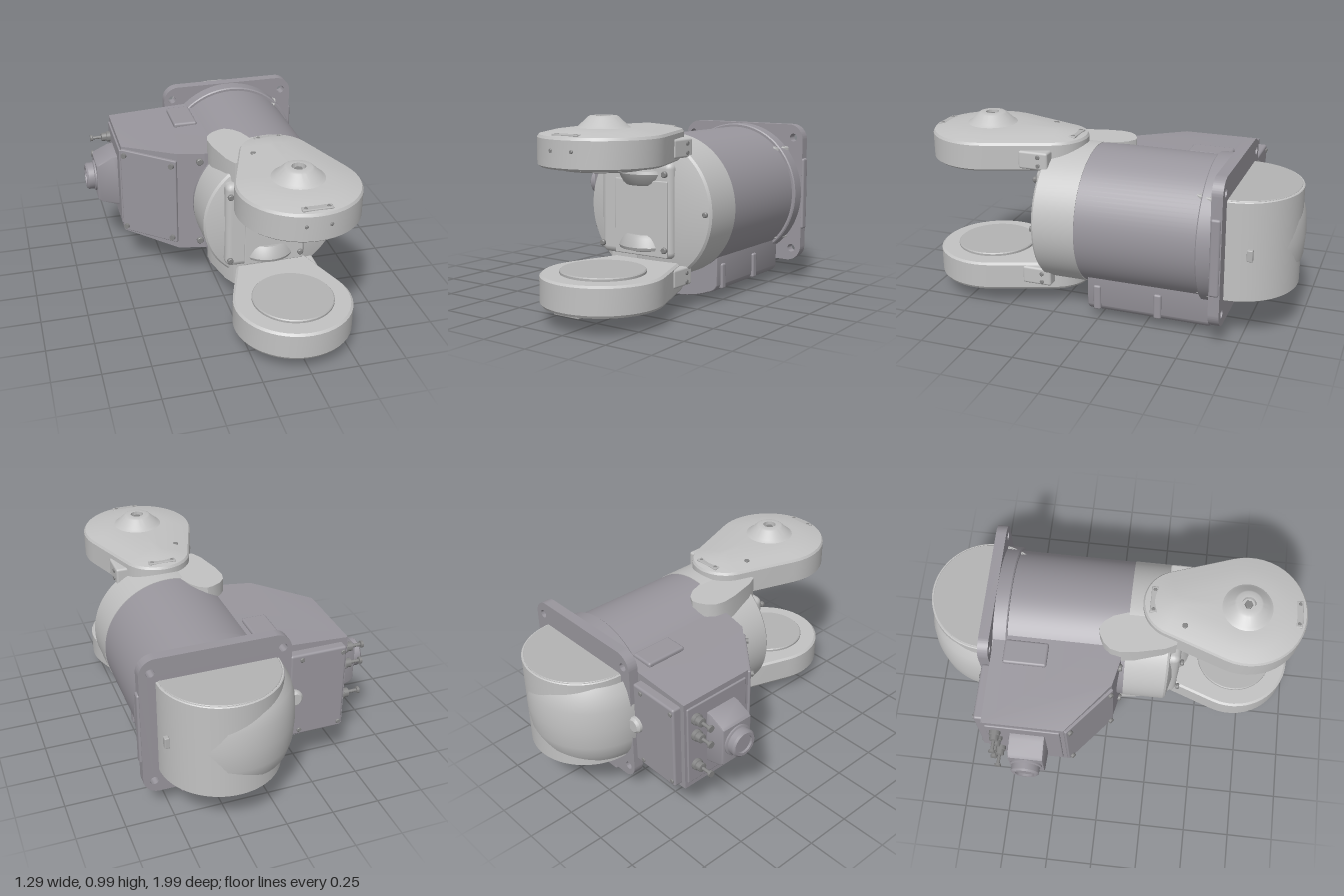
import * as THREE from 'three';
import { toCreasedNormals } from 'three/addons/utils/BufferGeometryUtils.js';
import { RoundedBoxGeometry } from 'three/addons/geometries/RoundedBoxGeometry.js';

const mat = (name, color) => {
  const m = new THREE.MeshStandardMaterial({ color });
  m.name = name;
  return m;
};
const CX = 0.245, CY = 0.5; // barrel axis

export function createModel() {
  const root = new THREE.Group();
  const light = mat('light grey shell', 0xc2c2c2);
  const dark = mat('dark grey casting', 0x99969d);
  const cap = mat('cap grey', 0xb3b3b3);
  const metal = mat('fastener grey', 0x858585);

  const add = (name, geo, material, x = 0, y = 0, z = 0) => {
    const m = new THREE.Mesh(geo, material);
    m.name = name;
    m.position.set(x, y, z);
    root.add(m);
    return m;
  };
  const crease = (g) => toCreasedNormals(g, 0.55);
  const box = (name, material, x0, x1, y0, y1, z0, z1, r = 0.012) =>
    add(name, new RoundedBoxGeometry(x1 - x0, y1 - y0, z1 - z0, 2, r), material,
      (x0 + x1) / 2, (y0 + y1) / 2, (z0 + z1) / 2);
  // revolved part; profile is [radius, height], axis 'x', 'y' or 'z'
  const lathe = (name, material, profile, axis, x, y, z, segs = 64) => {
    const g = new THREE.LatheGeometry(profile.map(p => new THREE.Vector2(...p)), segs);
    if (axis === 'z') g.rotateX(Math.PI / 2);
    if (axis === 'x') g.rotateZ(-Math.PI / 2);
    return add(name, crease(g), material, x, y, z);
  };
  const disc = (r, a, b, c = 0.006) => [[0, a], [r - c, a], [r, a + c], [r, b - c], [r - c, b], [0, b]];
  // plan outline in x,z raised from y0 to y1
  const plan = (pts, y0, y1) => {
    const s = new THREE.Shape(pts.map(p => new THREE.Vector2(p[0], -p[1])));
    return new THREE.ExtrudeGeometry(s, { depth: y1 - y0, bevelEnabled: false })
      .rotateX(-Math.PI / 2).translate(0, y0, 0);
  };
  // stacked teardrop rings [y, inset], closed at both ends
  const teardrop = (layers) => {
    const z1 = 0.69, z2 = 0.33, R = 0.305, r = 0.185, n = 28;
    const phi = Math.asin((R - r) / (z1 - z2));
    const ring = (inset) => {
      const pts = [];
      for (let i = 0; i <= n; i++) {
        const a = -phi + (Math.PI + 2 * phi) * i / n;
        pts.push([CX + (R - inset) * Math.cos(a), z1 + (R - inset) * Math.sin(a)]);
      }
      for (let i = 0; i <= n; i++) {
        const a = Math.PI + phi + (Math.PI - 2 * phi) * i / n;
        pts.push([CX + (r - inset) * Math.cos(a), z2 + (r - inset) * Math.sin(a)]);
      }
      return pts;
    };
    const pos = [], idx = [], N = 2 * n + 2;
    for (const [y, inset] of layers) for (const [x, z] of ring(inset)) pos.push(x, y, z);
    for (let l = 0; l < layers.length - 1; l++) for (let i = 0; i < N; i++) {
      const a = l * N + i, b = l * N + (i + 1) % N;
      idx.push(a, a + N, b, b, a + N, b + N);
    }
    const last = (layers.length - 1) * N;
    pos.push(CX, layers[0][0], 0.55, CX, layers[layers.length - 1][0], 0.55);
    for (let i = 0; i < N; i++) {
      const j = (i + 1) % N;
      idx.push(last + N, i, j, last + N + 1, last + j, last + i);
    }
    const g = new THREE.BufferGeometry();
    g.setAttribute('position', new THREE.Float32BufferAttribute(pos, 3));
    g.setIndex(idx);
    return toCreasedNormals(g, 0.4);
  };

  // Main barrel
  lathe('barrel', dark, [[0, -0.62], [0.367, -0.62], [0.367, 0.08], [0, 0.08]], 'z', CX, CY, 0, 96);
  lathe('barrelNose', light, [[0, 0.08], [0.37, 0.08], [0.37, 0.3], [0.36, 0.312], [0.26, 0.338], [0, 0.342]], 'z', CX, CY, 0, 96);
  lathe('rearCollar', dark, disc(0.385, -0.63, -0.545), 'z', CX, CY, 0, 96);
  box('noseBlock', light, -0.02, 0.42, 0.26, 0.75, 0.2, 0.37, 0.035);
  box('nosePanel', light, 0.08, 0.4, 0.27, 0.655, 0.365, 0.378, 0.005);
  for (const x of [0.385, -0.0]) for (const y of [0.31, 0.69])
    lathe('noseBolt', metal, disc(0.016, 0, 0.02, 0.004), 'z', x, y, 0.37, 16);
  lathe('sidePin', metal, disc(0.014, 0, 0.02, 0.004), 'z', 0.585, CY, 0.308, 16);

  // Rear mounting flange with a hole in each corner
  const fl = new THREE.Shape(), fx0 = -0.135, fx1 = 0.632, fy0 = 0.115, fy1 = 0.888, fr = 0.085;
  fl.absarc(fx1 - fr, fy0 + fr, fr, -Math.PI / 2, 0);
  fl.absarc(fx1 - fr, fy1 - fr, fr, 0, Math.PI / 2);
  fl.absarc(fx0 + fr, fy1 - fr, fr, Math.PI / 2, Math.PI);
  fl.absarc(fx0 + fr, fy0 + fr, fr, Math.PI, Math.PI * 1.5);
  for (const x of [-0.088, 0.575]) for (const y of [0.185, 0.815]) {
    const h = new THREE.Path();
    h.absarc(x, y, 0.022, 0, Math.PI * 2, true);
    fl.holes.push(h);
  }
  add('flange', crease(new THREE.ExtrudeGeometry(fl, { depth: 0.055, bevelEnabled: false, curveSegments: 12 })), dark, 0, 0, -0.675);
  box('flangeEdge', dark, 0.59, 0.643, 0.3, 0.7, -0.67, -0.62);

  // Rear drum and its bulged cover
  lathe('rearDrum', light, disc(0.31, 0.245, 0.762, 0.004), 'y', 0.24, 0, -0.675, 80);
  lathe('drumTopCap', cap, disc(0.3, 0.755, 0.766, 0.003), 'y', 0.24, 0, -0.675, 80);
  lathe('drumBottomCap', cap, disc(0.3, 0.241, 0.25, 0.003), 'y', 0.24, 0, -0.675, 80);
  const bulge = new THREE.LatheGeometry([[0.29, 0.27], [0.32, 0.32], [0.34, 0.39], [0.347, 0.5], [0.34, 0.61], [0.32, 0.68], [0.29, 0.73]]
    .map(p => new THREE.Vector2(...p)), 48, Math.PI * 0.82, Math.PI * 0.68);
  const shell = light.clone();
  shell.side = THREE.DoubleSide;
  add('drumCover', bulge, shell, 0.205, 0, -0.653);
  box('drumSlot', cap, 0.53, 0.555, 0.47, 0.53, -0.81, -0.78, 0.005);

  // Side housing with sloped front, tapered toward its outer face
  const hg = plan([[-0.465, -0.615], [-0.465, -0.19], [-0.2, 0.03], [-0.06, 0.06], [0.1, 0.06], [0.1, -0.615]], 0.21, 0.79);
  const hp = hg.attributes.position;
  for (let i = 0; i < hp.count; i++)
    if (hp.getX(i) < -0.4) hp.setY(i, CY + (hp.getY(i) - CY) * 0.9);
  add('sideHousing', toCreasedNormals(hg, 0.2), dark);
  const panel = new THREE.Group();
  panel.name = 'slopedCover';
  panel.position.set(-0.3325, CY, -0.08);
  panel.rotation.y = -0.693;
  panel.add(new THREE.Mesh(new RoundedBoxGeometry(0.34, 0.5, 0.03, 2, 0.006), dark));
  for (const x of [-0.145, 0.145]) for (const y of [-0.22, 0.22]) {
    const b = new THREE.Mesh(new THREE.CylinderGeometry(0.015, 0.015, 0.02, 12).rotateX(Math.PI / 2), metal);
    b.position.set(x, y, 0.02);
    panel.add(b);
  }
  panel.children.forEach((c, i) => { c.name = i ? 'coverBolt' : 'coverPlate'; });
  root.add(panel);
  for (const y of [0.26, 0.745]) lathe('housingBolt', metal, disc(0.019, 0, 0.025, 0.004), 'z', -0.085, y, 0.045, 16);
  box('housingRearCover', dark, -0.44, -0.14, 0.26, 0.74, -0.662, -0.6);
  box('outerPlate', dark, -0.474, -0.44, 0.27, 0.73, -0.6, -0.21, 0.006);
  for (const y of [0.785, 0.215]) box('housingRib', dark, -0.14, -0.01, y - 0.015, y + 0.015, -0.55, -0.32);
  lathe('rearKnob', light, disc(0.045, -0.69, -0.64, 0.012), 'z', -0.16, 0.5, 0, 24);
  for (const x of [-0.42, -0.2]) for (const y of [0.29, 0.71])
    lathe('rearBolt', metal, disc(0.013, -0.668, -0.65, 0.003), 'z', x, y, 0, 12);

  // Connector hood, round socket and air fittings
  const hood = new THREE.Shape([[-0.46, 0.355], [-0.46, 0.65], [-0.5, 0.645], [-0.575, 0.61], [-0.585, 0.6], [-0.585, 0.4], [-0.57, 0.385], [-0.5, 0.36]]
    .map(p => new THREE.Vector2(...p)));
  add('connectorHood', crease(new THREE.ExtrudeGeometry(hood, { depth: 0.17, bevelThickness: 0.008, bevelSize: 0.006, bevelSegments: 2 })), dark, 0, 0, -0.468);
  lathe('roundSocket', dark, [[0, -0.02], [0.085, -0.02], [0.085, 0.012], [0.075, 0.016], [0.075, 0.048], [0.065, 0.058], [0.05, 0.058], [0.05, 0.045], [0, 0.045]],
    'x', -0.587, 0.505, -0.383, 40).scale.x = 1;
  root.children[root.children.length - 1].rotation.y = Math.PI;
  for (const y of [0.375, 0.56, 0.658]) {
    const f = lathe('airFitting', metal, [[0, 0], [0.03, 0], [0.03, 0.025], [0.024, 0.028], [0.024, 0.055], [0.009, 0.058], [0.009, 0.105], [0.018, 0.107], [0.018, 0.12], [0, 0.12]],
      'x', -0.468, y, -0.55, 20);
    f.rotation.y = Math.PI;
  }

  // Belly box under the barrel
  const belly = new THREE.Shape();
  belly.moveTo(0.0, 0.24);
  belly.lineTo(0.0, 0.085);
  belly.quadraticCurveTo(0.01, 0.055, 0.05, 0.045);
  belly.quadraticCurveTo(CX, -0.03, 0.44, 0.045);
  belly.quadraticCurveTo(0.48, 0.055, 0.49, 0.085);
  belly.lineTo(0.49, 0.24);
  add('bellyBox', crease(new THREE.ExtrudeGeometry(belly, { depth: 0.62, bevelThickness: 0.015, bevelSize: 0.006, bevelSegments: 3 })), dark, 0, 0, -0.58);
  for (const z of [0.0, -0.325]) for (const x of [-0.002, 0.492])
    box('bellyPost', dark, x - 0.016, x + 0.016, 0.06, 0.195, z - 0.02, z + 0.02, 0.01);
  box('bellyLip', dark, 0.06, 0.43, 0.045, 0.14, -0.65, -0.58);

  // Forked arms, mirrored about the barrel axis
  const armLayers = [[0.758, 0.012], [0.768, 0], [0.895, 0], [0.908, 0.008], [0.925, 0.08], [0.935, 0.155]];
  const lobe = [[0.19, 0.34], [0.18, 0.07], [0.155, 0.0], [0.12, -0.045], [0.08, -0.068], [0.045, -0.06], [0.0, -0.035], [-0.03, 0.0], [-0.042, 0.05], [-0.035, 0.13], [0.0, 0.28], [0.03, 0.34]];
  for (const top of [true, false]) {
    const side = top ? 'upper' : 'lower';
    const my = (y) => top ? y : 1 - y;
    const prof = (p) => top ? p : p.map(([r, y]) => [r, 1 - y]).reverse();
    add(side + 'Arm', teardrop(top ? armLayers : armLayers.map(([y, i]) => [1 - y, i]).reverse()), light);
    lathe(side + 'ArmInnerDisc', cap, prof(disc(0.21, 0.742, 0.765, 0.005)), 'y', CX, 0, 0.69);
    add(side + 'Saddle', crease(plan(lobe, top ? 0.72 : 0.138, top ? 0.862 : 0.28)), light);
    box(side + 'Bracket', light, 0.38, 0.48, my(top ? 0.775 : 0.865), my(top ? 0.87 : 0.77), 0.27, 0.43);
    for (const y of [0.8, 0.845])
      lathe(side + 'BracketScrew', metal, disc(0.011, 0, 0.01, 0.002), 'x', 0.477, my(y), 0.32, 12);
    // wrist caps showing through the nose
    lathe(side + 'WristCap', cap, prof([[0, 0.625], [0.12, 0.625], [0.135, 0.64], [0.155, 0.685], [0.15, 0.7], [0.1, 0.714], [0, 0.716]]), 'y', 0.22, 0, 0.275);
    // cover slots and screws
    for (const z of [0.2, 0.95]) {
      const yy = my(0.914);
      box(side + 'CoverTab', cap, 0.17, 0.32, yy - 0.006, yy + 0.006, z - 0.018, z + 0.018, 0.005);
      for (const x of [0.19, 0.3])
        lathe(side + 'TabScrew', metal, disc(0.01, yy - 0.008, yy + 0.008, 0.002), 'y', x, 0, z, 12);
    }
    lathe(side + 'CoverScrew', metal, disc(0.015, my(0.915) - 0.012, my(0.915) + 0.012, 0.002), 'y', 0.115, 0, 0.37, 12);
  }
  for (const x of [0.185, 0.305]) lathe('armFrontScrew', metal, disc(0.009, 0, 0.012, 0.002), 'z', x, 0.845, 0.982, 12);

  // Hollow boss on the upper arm
  lathe('armBoss', light, [[0.135, 0.92], [0.132, 0.934], [0.115, 0.945], [0.075, 0.984], [0.065, 0.99], [0.035, 0.99], [0.035, 0.965], [0, 0.965]], 'y', CX, 0, 0.68);
  lathe('bossBolt', metal, disc(0.022, 0.955, 0.98, 0.003), 'y', CX, 0, 0.68, 6);
  return root;
}
